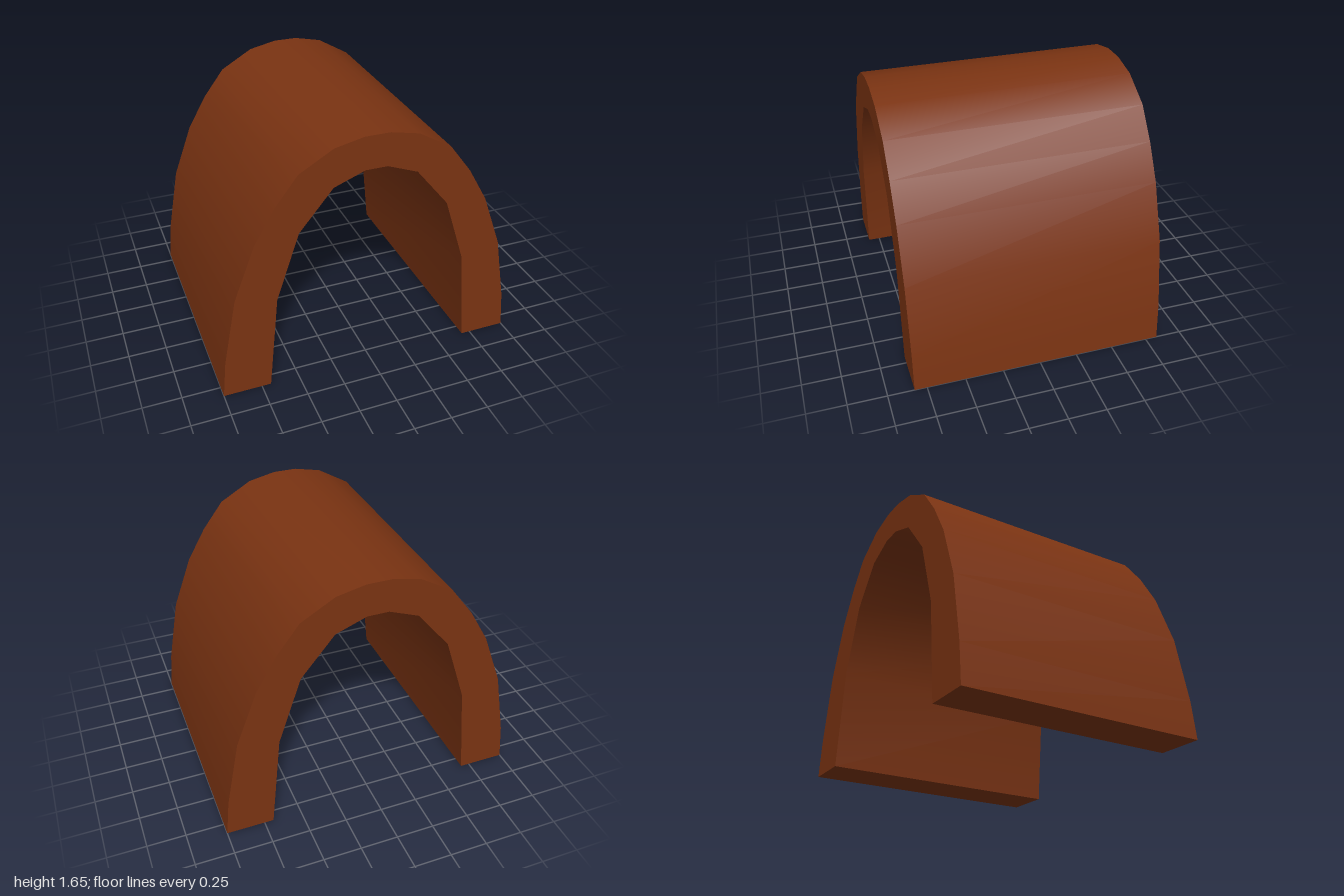
import * as THREE from 'three';
import { toCreasedNormals } from 'three/addons/utils/BufferGeometryUtils.js';

const DEPTH = 1.66;

// Right halves of the outer and inner curves, from the foot to the crown
const OUTER = [[1, 0], [0.975, 0.26], [0.89, 0.715], [0.755, 1.075], [0.625, 1.3], [0.48, 1.49], [0.265, 1.615], [0.08, 1.655]];
const INNER = [[0.69, 0], [0.628, 0.655], [0.482, 1.1], [0.267, 1.362], [0.07, 1.438]];

// Complete a half curve by mirroring it across x = 0
const fullCurve = (half) => [...half, ...half.map(([x, y]) => [-x, y]).reverse()];

export function createModel() {
  const group = new THREE.Group();
  group.name = 'archedTunnel';

  const brown = new THREE.MeshStandardMaterial({ color: 0x7a3312 });
  brown.name = 'rust brown';

  // Arch outline: over the outside, back along the inside
  const outline = [...fullCurve(OUTER), ...fullCurve(INNER).reverse()];
  const shape = new THREE.Shape(outline.map(([x, y]) => new THREE.Vector2(x, y)));
  const extruded = new THREE.ExtrudeGeometry(shape, { depth: DEPTH, bevelEnabled: false });
  extruded.translate(0, 0, -DEPTH / 2);

  // Smooth vault, sharp end faces and feet
  const arch = new THREE.Mesh(toCreasedNormals(extruded, Math.PI / 4), brown);
  arch.name = 'arch';
  group.add(arch);

  return group;
}
